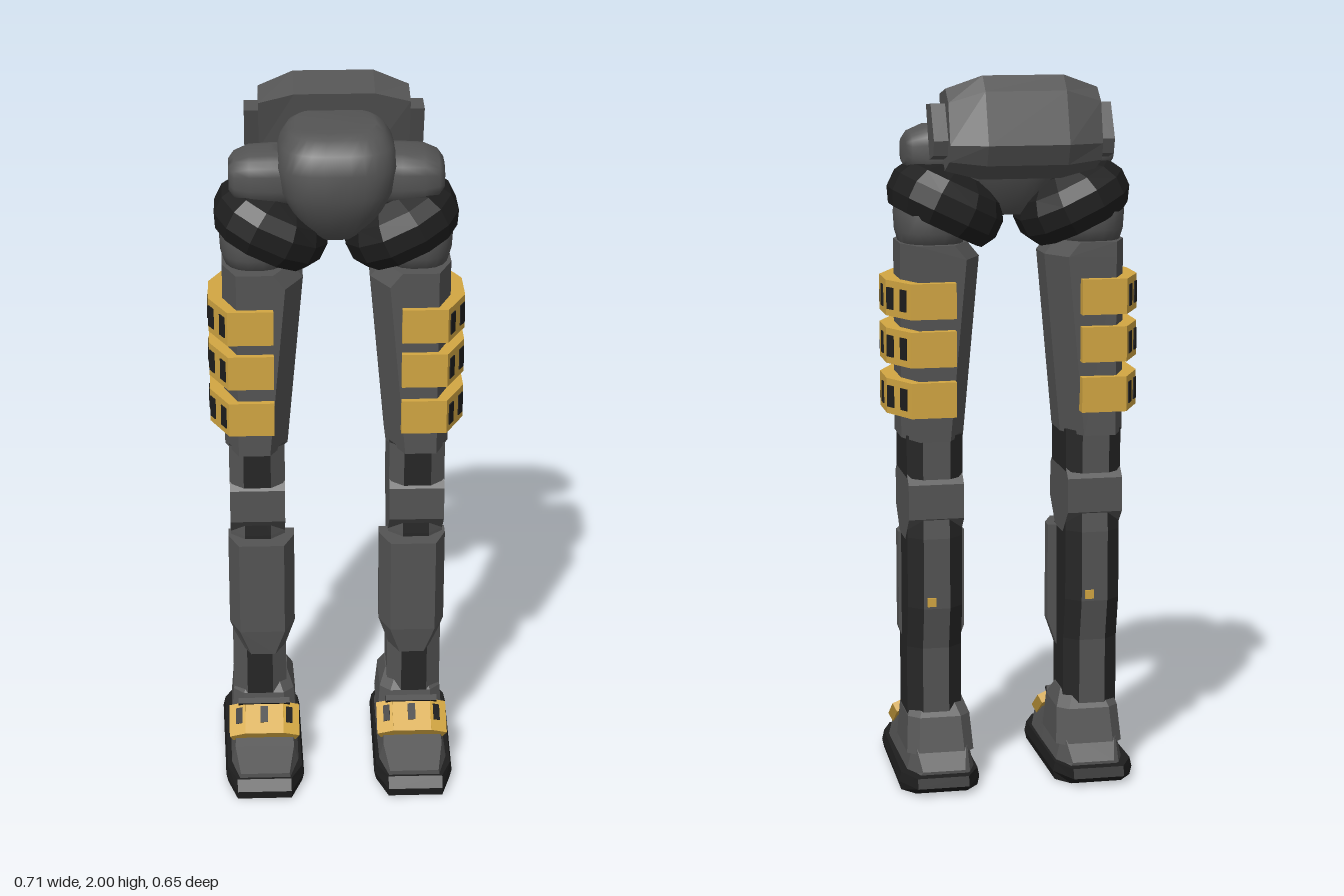
import * as THREE from 'three';

const mat = (name, color) => Object.assign(new THREE.MeshStandardMaterial({ color }), { name });

// Skin between equal-length rings of [x, y, z]; sides[i] picks the material of strip i.
function loft(rings, sides) {
  const pos = [], strips = [], n = rings[0].length;
  let volume = 0;
  const v = (p) => new THREE.Vector3(...p);
  const tris = [];
  for (let i = 0; i < n; i++) {
    const j = (i + 1) % n, start = tris.length;
    for (let k = 0; k + 1 < rings.length; k++) {
      const a = rings[k][i], b = rings[k][j], c = rings[k + 1][j], d = rings[k + 1][i];
      tris.push([a, b, c], [a, c, d]);
    }
    strips.push([start, tris.length - start, sides ? sides[i] : 0]);
  }
  const capStart = tris.length;
  const first = rings[0], last = rings[rings.length - 1];
  for (let i = 1; i + 1 < n; i++) {
    tris.push([first[0], first[i + 1], first[i]], [last[0], last[i], last[i + 1]]);
  }
  strips.push([capStart, tris.length - capStart, 0]);
  const o = v(first[0]);
  for (const [a, b, c] of tris) volume += v(a).sub(o).dot(v(b).sub(o).cross(v(c).sub(o)));
  for (const [a, b, c] of tris) pos.push(...a, ...(volume > 0 ? b : c), ...(volume > 0 ? c : b));
  const g = new THREE.BufferGeometry();
  g.setAttribute('position', new THREE.Float32BufferAttribute(pos, 3));
  g.computeVertexNormals();
  if (sides) for (const [s, c, m] of strips) g.addGroup(s * 3, c * 3, m);
  return g;
}

// Rounded-square body from levels of [y, halfX, halfZ, centreZ]
function blob(levels, segs, power, smooth) {
  const se = (t) => Math.sign(t) * Math.abs(t) ** power;
  const rings = levels.map(([y, rx, rz, cz = 0]) => Array.from({ length: segs }, (_, i) => {
    const a = ((i + 0.5) / segs) * Math.PI * 2;
    return [se(Math.cos(a)) * rx, y, cz + se(Math.sin(a)) * rz];
  }));
  if (!smooth) return loft(rings);
  // Shared vertices give smooth normals
  const idx = [], n = segs, m = rings.length;
  for (let k = 0; k + 1 < m; k++) for (let i = 0; i < n; i++) {
    const a = k * n + i, b = k * n + (i + 1) % n;
    idx.push(a, a + n, b, b, a + n, b + n);
  }
  for (let i = 1; i + 1 < n; i++) {
    idx.push(0, i, i + 1, (m - 1) * n, (m - 1) * n + i + 1, (m - 1) * n + i);
  }
  const g = new THREE.BufferGeometry();
  g.setAttribute('position', new THREE.Float32BufferAttribute(rings.flat(2), 3));
  g.setIndex(idx);
  g.computeVertexNormals();
  return g;
}

export function createModel() {
  const grey = mat('armour grey', 0x545454);
  const dark = mat('joint dark', 0x262626);
  const black = mat('sole black', 0x1e1e1e);
  const gold = mat('trim gold', 0xd2a642);
  const model = new THREE.Group();
  model.name = 'walkerLegs';

  const add = (parent, name, geo, material, x = 0, y = 0, z = 0) => {
    const m = new THREE.Mesh(geo, material);
    m.name = name;
    m.position.set(x, y, z);
    parent.add(m);
    return m;
  };
  const box = (w, h, d) => new THREE.BoxGeometry(w, h, d);
  const level = (pts, y) => pts.map(([x, z]) => [x, y, z]);
  // Chamfered rectangle in x and z
  const octagon = (x0, x1, z0, z1, cx, cz) => [
    [x1, z0 + cz], [x1, z1 - cz], [x1 - cx, z1], [x0 + cx, z1],
    [x0, z1 - cz], [x0, z0 + cz], [x0 + cx, z0], [x1 - cx, z0]];

  // Pelvis
  add(model, 'pelvis', blob([
    [1.61, 0.06, 0.06, -0.02], [1.64, 0.09, 0.095, -0.01], [1.70, 0.125, 0.135, -0.005],
    [1.76, 0.155, 0.155, -0.005], [1.83, 0.165, 0.163, -0.008], [1.88, 0.152, 0.15, -0.015],
    [1.91, 0.13, 0.122, -0.03], [1.92, 0.11, 0.1, -0.04]], 32, 0.65, true), grey);

  // Tilted back pack, swept across x
  const across = (pts, x) => pts.map(([z, y]) => [x, y, z]);
  const packMid = [[-0.118, 1.97], [-0.235, 2.0], [-0.278, 1.96], [-0.325, 1.82],
    [-0.30, 1.765], [-0.20, 1.72], [-0.16, 1.79]];
  const packEnd = [[-0.122, 1.945], [-0.215, 1.965], [-0.262, 1.93], [-0.29, 1.82],
    [-0.275, 1.775], [-0.20, 1.745], [-0.165, 1.80]];
  add(model, 'backPack', loft([across(packEnd, -0.207), across(packMid, -0.11),
    across(packMid, 0.11), across(packEnd, 0.207)]), grey);
  const padEnd = [[-0.135, 1.92], [-0.21, 1.925], [-0.262, 1.83], [-0.25, 1.79], [-0.19, 1.775]];
  for (const s of [1, -1]) {
    add(model, 'packSidePad', loft([across(padEnd, 0.19 * s), across(padEnd, 0.246 * s)]), grey);
  }

  for (const s of [1, -1]) {
    const leg = new THREE.Group();
    leg.name = s > 0 ? 'leftLeg' : 'rightLeg';
    model.add(leg);
    const mir = (pts) => pts.map(([x, z]) => [x * s, z]);

    // Hip
    const hip = add(leg, 'hipBulge', blob([
      [-0.12, 0.075, 0.09], [0, 0.075, 0.095], [0.06, 0.072, 0.092],
      [0.10, 0.055, 0.08], [0.115, 0.035, 0.06]], 20, 0.7, true), grey, 0.175 * s, 1.785, -0.01);
    hip.rotation.z = -Math.PI / 2 * s;
    const guard = add(leg, 'hipGuard', blob([
      [-0.06, 0.14, 0.145], [-0.02, 0.163, 0.17], [0.03, 0.163, 0.17],
      [0.07, 0.14, 0.15], [0.10, 0.09, 0.1]], 12, 0.85), black, 0.18 * s, 1.635, -0.03);
    guard.rotation.z = 0.45 * s;
    add(leg, 'thighBall', blob([[1.53, 0.085, 0.115], [1.57, 0.097, 0.13], [1.62, 0.1, 0.135],
      [1.68, 0.09, 0.12]], 20, 0.8, true), grey, 0.22 * s, 0, -0.035);
    add(leg, 'thighCore', blob([[1.48, 0.075, 0.1], [1.57, 0.075, 0.1]], 12, 1), dark, 0.215 * s, 0, -0.03);

    // Thigh, its inner side slanting
    const thigh = (inner) => mir([[inner, 0.03], [inner, -0.08], [inner + 0.05, -0.17], [0.275, -0.175],
      [0.313, -0.09], [0.313, 0.03], [0.275, 0.12], [inner + 0.05, 0.12]]);
    add(leg, 'thigh', loft([level(thigh(0.138), 1.0), level(thigh(0.092), 1.5),
      level(thigh(0.125), 1.54)]), grey);

    // Gold thigh bands with dark slots
    const band = [[0.175, 0.137], [0.30, 0.137], [0.353, 0.03], [0.353, -0.09], [0.30, -0.198], [0.175, -0.198]];
    const slots = [[1, 0.25], [1, 0.82], [2, 0.5], [3, 0.18], [3, 0.7]];
    for (const y of [1.392, 1.26, 1.12]) {
      add(leg, 'thighBand', loft([level(mir(band), y - 0.049), level(mir(band), y + 0.049)]), gold);
      for (const [f, t] of slots) {
        const [ax, az] = band[f], [bx, bz] = band[f + 1];
        const slot = add(leg, 'bandSlot', box(0.03, 0.06, 0.006), black,
          (ax + (bx - ax) * t) * s, y, az + (bz - az) * t);
        slot.rotation.y = Math.atan2((az - bz) * s, bx - ax);
      }
    }

    // Knee and shin; strips: +x, front corner, front, corner, -x, back corner, back, back corner
    const c = 0.225 * s;
    const tone = [0, 1, 0, 1, 1, 0, 1, 0];
    const tones = [dark, grey];
    const shin = (half, z0, z1) => octagon(c - half, c + half, z0, z1, 0.04, 0.035);
    add(leg, 'kneeSocket', loft([level(shin(0.078, -0.155, 0.1), 0.89),
      level(shin(0.078, -0.155, 0.1), 1.01)], tone), tones);
    const knee = add(leg, 'kneeJoint', new THREE.CylinderGeometry(0.127, 0.127, 0.155, 8, 1).toNonIndexed(),
      grey, c, 0.825, -0.03);
    knee.geometry.rotateY(Math.PI / 8);
    knee.geometry.rotateZ(Math.PI / 2);
    knee.geometry.computeVertexNormals();
    add(leg, 'shin', loft([[0.18, -0.125, 0.07], [0.40, -0.125, 0.07], [0.52, -0.15, 0.07],
      [0.72, -0.15, 0.065], [0.9, -0.13, 0.05]].map(([y, z0, z1]) => level(shin(0.077, z0, z1), y)), tone), tones);
    add(leg, 'calfMark', box(0.025, 0.025, 0.008), gold, c + 0.015, 0.54, -0.151);
    const guardRing = (x0, x1, z) => mir([[x0, 0], [x0, 0.04], [x0 + 0.03, z], [x1 - 0.03, z], [x1, 0.04], [x1, 0]]);
    add(leg, 'shinGuard', loft([level(guardRing(0.15, 0.28, 0.1), 0.35),
      level(guardRing(0.122, 0.31, 0.11), 0.43), level(guardRing(0.122, 0.31, 0.11), 0.71)]), grey);

    // Foot
    const fx = 0.215 * s;
    const toe = [[0.292, 0.075, 0.07, 0.065], [0.2, 0.1, 0.085, 0.1], [0.1, 0.1, 0.08, 0.14],
      [0.06, 0.1, 0.08, 0.15], [-0.13, 0.098, 0.075, 0.14], [-0.195, 0.075, 0.06, 0.06]];
    add(leg, 'foot', loft(toe.map(([z, wb, wt, h]) =>
      [[fx - wb, 0.04, z], [fx + wb, 0.04, z], [fx + wt, h, z], [fx - wt, h, z]])), grey);
    add(leg, 'ankle', loft([[0.10, 0.095, -0.16, 0.085], [0.2, 0.088, -0.135, 0.07], [0.245, 0.07, -0.1, 0.04]]
      .map(([y, w, z0, z1]) => level(octagon(fx - w, fx + w, z0, z1, 0.03, 0.03), y))), grey);
    const sole = (k, back, front) => mir([[0.14, front], [0.295, front], [0.215 + 0.113 * k, 0.23],
      [0.215 + 0.122 * k, -0.15], [0.295, back], [0.15, back], [0.215 - 0.108 * k, -0.15], [0.215 - 0.113 * k, 0.23]]);
    add(leg, 'sole', loft([level(sole(0.95, -0.195, 0.32), 0), level(sole(1, -0.235, 0.325), 0.025),
      level(sole(0.95, -0.225, 0.3), 0.052)]), black);

    // Bent gold strap over the instep
    const strap = new THREE.Group();
    strap.name = 'footStrap';
    strap.position.set(fx, 0.152, 0.14);
    strap.rotation.x = 0.58;
    leg.add(strap);
    add(strap, 'strapTop', box(0.11, 0.028, 0.1), gold);
    add(strap, 'strapRoll', box(0.15, 0.04, 0.018), black, 0, 0, -0.052);
    for (const e of [1, -1]) {
      add(strap, 'strapSide', box(0.05, 0.028, 0.1), gold, 0.073 * e, -0.008, 0).rotation.z = -0.4 * e;
      add(strap, 'strapSlot', box(0.02, 0.006, 0.05), black, 0.072 * e, 0.006, -0.01).rotation.z = -0.4 * e;
    }
    add(strap, 'strapSlot', box(0.022, 0.006, 0.05), black, 0, 0.014, -0.01);
  }
  return model;
}
